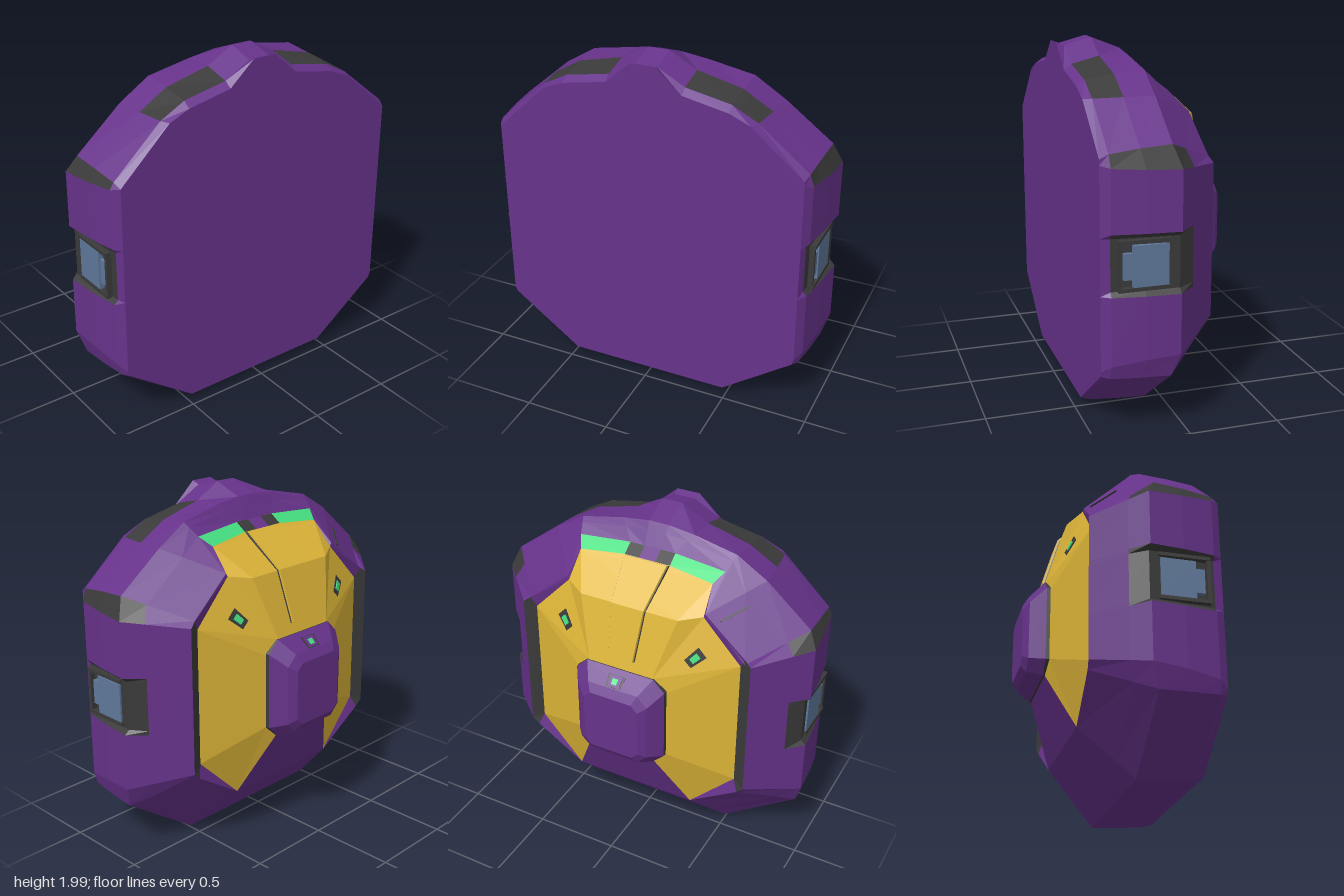
import * as THREE from 'three';

const COLORS = { purple: 0x66328a, dark: 0x3a3a3a, yellow: 0xdcb438, green: 0x45dd80, blue: 0x5f789a };
const CENTER = new THREE.Vector3(0, 1, 0.2);
const V = (p) => new THREE.Vector3(...p);
const lerp = THREE.MathUtils.lerp;
const mirror = (p) => [-p[0], p[1], p[2]];

function material(color) {
  return new THREE.MeshStandardMaterial({ color: COLORS[color], flatShading: true, side: THREE.DoubleSide });
}

// Flat-shaded mesh from convex polygons, each turned to face away from the middle
function shell(name, color, polys) {
  const pos = [];
  for (const poly of polys) {
    for (let i = 1; i < poly.length - 1; i++) {
      const [a, b, c] = [poly[0], poly[i], poly[i + 1]].map(V);
      const n = b.clone().sub(a).cross(c.clone().sub(a));
      const mid = a.clone().add(b).add(c).divideScalar(3).sub(CENTER);
      for (const p of n.dot(mid) < 0 ? [a, c, b] : [a, b, c]) pos.push(p.x, p.y, p.z);
    }
  }
  const g = new THREE.BufferGeometry();
  g.setAttribute('position', new THREE.Float32BufferAttribute(pos, 3));
  g.computeVertexNormals();
  const mesh = new THREE.Mesh(g, material(color));
  mesh.name = name;
  return mesh;
}

function box(name, color, size, at) {
  const m = new THREE.Mesh(new THREE.BoxGeometry(...size), material(color));
  m.position.set(...at);
  m.name = name;
  return m;
}

// Thin raised plate on the middle of a four-cornered panel
function plate(corners, u, v, du, dv, lift) {
  const [a, b, c, d] = corners.map(V);
  const n = c.clone().sub(a).cross(d.clone().sub(b)).normalize();
  if (n.dot(a.clone().add(c).multiplyScalar(0.5).sub(CENTER)) < 0) n.negate();
  const at = (s, t, h) => a.clone().lerp(b, s).lerp(d.clone().lerp(c, s), t).addScaledVector(n, h).toArray();
  const ring = (h) => [at(u - du, v - dv, h), at(u + du, v - dv, h), at(u + du, v + dv, h), at(u - du, v + dv, h)];
  return [ring(lift), ...band(ring(lift), ring(-0.01))];
}

// Quads between two closed rings
const band = (a, b) => a.map((p, i) => [p, a[(i + 1) % a.length], b[(i + 1) % b.length], b[i]]);

// Half outlines, bottom to top: base corner, side, wall foot, wall head, shoulder, crown
const FRONT = [[0.48, 0.04, 0.46], [0.89, 0.34, 0.46], [0.9, 0.37, 0.46], [0.9, 1.46, 0.46], [0.9, 1.49, 0.46],
  [0.6, 1.74, 0.46], [0.48, 1.79, 0.46], [0.22, 1.84, 0.46], [0.07, 1.97, 0.46]];
const WIDEST = [[0.49, 0, 0.09], [0.94, 0.32, 0.09], [0.98, 0.45, 0.05], [0.98, 1.43, 0.05], [0.93, 1.55, 0.09],
  [0.66, 1.75, 0.09], [0.48, 1.86, 0.09], [0.22, 1.91, 0.1], [0.06, 1.93, 0.1]];
const REAR = [[0.38, 0.3, -0.2], [0.68, 0.5, -0.21], [0.72, 0.54, -0.215], [0.72, 1.39, -0.215], [0.68, 1.42, -0.2],
  [0.43, 1.62, -0.18], [0.45, 1.79, 0.01], [0.14, 1.81, 0.03], [0.05, 1.81, 0.03]];

// Section between two outlines: curve rounds the edge, inset sinks the window band, crest lifts the crown
function section(from, to, t, curve = 1, inset = 0, crest = 0) {
  const k = t ** curve;
  const pts = from.map((p, i) => [lerp(p[0], to[i][0], k), lerp(p[1], to[i][1], k), lerp(p[2], to[i][2], t)]);
  pts[8][1] += crest;
  pts[7][1] += crest / 4;
  const [x, , z] = pts[2];
  pts.splice(3, 0, [x, 0.78, z], [x - inset, 0.805, z], [x - inset, 1.085, z], [x, 1.11, z]);
  return pts;
}

export function createModel() {
  const group = new THREE.Group();
  const purple = [], dark = [], yellow = [], green = [], sensorFrames = [], sensors = [];

  // Main body: both halves of each section, joined at top and bottom
  const sections = [
    section(FRONT, WIDEST, 0),
    section(FRONT, WIDEST, 0.12, 0.4, 0.02),
    section(FRONT, WIDEST, 0.55, 0.4, 0.03, 0.055),
    section(FRONT, WIDEST, 1, 1, 0.03),
    section(WIDEST, REAR, 0.35),
    section(WIDEST, REAR, 1),
  ];
  const n = sections[0].length;
  const full = sections.map((half) => {
    const right = half.map(mirror);
    right[8][1] -= 0.03; // right shoulder sits a little lower
    return [...half, ...right.reverse()];
  });
  for (let r = 0; r < full.length - 1; r++) {
    band(full[r], full[r + 1]).forEach((quad, i) => {
      const seg = i < n ? i : 2 * n - 2 - i;
      const isSideBand = r >= 1 && r <= 3 && ((seg >= 3 && seg <= 5) || seg === 7);
      const isTopVent = r === 1 && (seg === 9 || seg === 10);
      (isSideBand || isTopVent ? dark : purple).push(quad);
    });
  }
  // Flat front face
  full[0].forEach((p, i) => purple.push([[0, 0.9, 0.46], p, full[0][(i + 1) % (2 * n)]]));

  // Rear panels from rim to hub, built for one half and mirrored
  const rim = sections[5];
  const A = rim[0], B = [0.65, 0.57, -0.185], C = [0.65, 1.36, -0.185], D = [0.42, 1.6, -0.18];
  const T = [0.41, 1.74, -0.06], T2 = [0.14, 1.765, -0.035], T3 = [0.05, 1.765, -0.035], M = [0.3, 1.58, -0.25];
  const H = [[0.21, 0.65, -0.345], [0.28, 0.72, -0.335], [0.28, 1.15, -0.335], [0.2, 1.23, -0.35]];
  const side = [C, D, H[3], H[2]];
  for (const f of [(p) => p, mirror]) {
    const add = (list, ...polys) => polys.forEach((poly) => list.push(poly.map(f)));
    add(yellow, [A, B, H[1], H[0]], [B, C, H[2], H[1]], side, [D, M, H[3]], [D, T, M]);
    add(dark, [rim[1], rim[2], B], [rim[2], rim[7], C, B], [rim[7], rim[8], C], [rim[11], rim[12], T3, T2]);
    add(purple, [A, rim[1], B], [rim[8], rim[9], D, C], [rim[9], rim[10], T, D]);
    add(green, [rim[10], rim[11], T2, T]);
    add(sensorFrames, ...plate(side, 0.55, 0.4, 0.13, 0.12, 0.006));
    add(sensors, ...plate(side, 0.55, 0.4, 0.07, 0.06, 0.011));
  }
  purple.push([A, mirror(A), mirror(H[0]), H[0]], [rim[12], mirror(rim[12]), mirror(T3), T3]);
  yellow.push([T, T2, mirror(T2), mirror(T), mirror(M), M], [M, mirror(M), mirror(H[3]), H[3]]);

  // Raised tapering strip down the middle, in a dark groove
  const path = [[0.13, 1.765, -0.04], [0.1, 1.58, -0.25], [0.075, 1.29, -0.333]];
  const strip = (w, lift) => path.map(([x, y, z]) => [x + w, y + lift / 2, z - lift]);
  const stripPolys = (w, lift) => {
    const top = strip(w, lift), low = strip(w + 0.008, -0.015);
    const polys = [[top[2], mirror(top[2]), mirror(low[2]), low[2]]];
    for (let i = 0; i < 2; i++) {
      const edge = [top[i], top[i + 1], low[i + 1], low[i]];
      polys.push([top[i], top[i + 1], mirror(top[i + 1]), mirror(top[i])], edge, edge.map(mirror));
    }
    return polys;
  };

  group.add(
    shell('body', 'purple', purple), shell('darkPanels', 'dark', dark),
    shell('rearPanels', 'yellow', yellow), shell('topLights', 'green', green),
    shell('sensorFrames', 'dark', sensorFrames), shell('sensors', 'green', sensors),
    shell('stripGroove', 'dark', stripPolys(0.006, 0.004)), shell('centreStrip', 'yellow', stripPolys(0, 0.014)),
  );

  // Thin slit on the right shoulder only
  const slope = [rim[8], rim[9], sections[4][9], sections[4][8]].map(mirror);
  group.add(shell('shoulderSlit', 'dark', plate(slope, 0.77, 0.5, 0.015, 0.35, 0.004)));

  // Rear hub: dark collar and bevelled cap
  const bevelRect = (x, y0, y1, c, z) => {
    const half = [[x - c, y0, z], [x, y0 + c, z], [x, y1 - c, z], [x - c, y1, z]];
    return [...half, ...half.map(mirror).reverse()];
  };
  const hub = [bevelRect(0.285, 0.645, 1.235, 0.07, -0.31), bevelRect(0.28, 0.65, 1.23, 0.07, -0.355),
    bevelRect(0.215, 0.685, 1.15, 0.06, -0.44), bevelRect(0.17, 0.73, 1.1, 0.04, -0.47)];
  const hubTop = [hub[1][3], hub[1][4], hub[2][4], hub[2][3]];
  group.add(
    shell('hubCollar', 'dark', band(hub[0], hub[1])),
    shell('hubCap', 'purple', [...band(hub[1], hub[2]), ...band(hub[2], hub[3]), hub[3]]),
    shell('hubLightFrame', 'dark', plate(hubTop, 0.5, 0.63, 0.14, 0.32, 0.002)),
    shell('hubLightBase', 'purple', plate(hubTop, 0.5, 0.63, 0.11, 0.28, 0.004)),
    shell('hubLight', 'green', plate(hubTop, 0.5, 0.65, 0.05, 0.15, 0.007)),
  );

  // Side windows with frame rails
  for (const s of [1, -1]) {
    const w = new THREE.Group();
    w.name = s > 0 ? 'leftWindow' : 'rightWindow';
    w.add(box('pane', 'blue', [0.03, 0.22, 0.19], [s * 0.94, 0.94, 0.205]));
    w.add(box('paneStep', 'blue', [0.03, 0.14, 0.05], [s * 0.932, 0.94, 0.325]));
    for (const y of [0.82, 1.07]) w.add(box('rail', 'dark', [0.03, 0.02, 0.28], [s * 0.945, y, 0.24]));
    w.add(box('post', 'dark', [0.03, 0.26, 0.02], [s * 0.94, 0.945, 0.37]));
    group.add(w);
  }
  return group;
}
